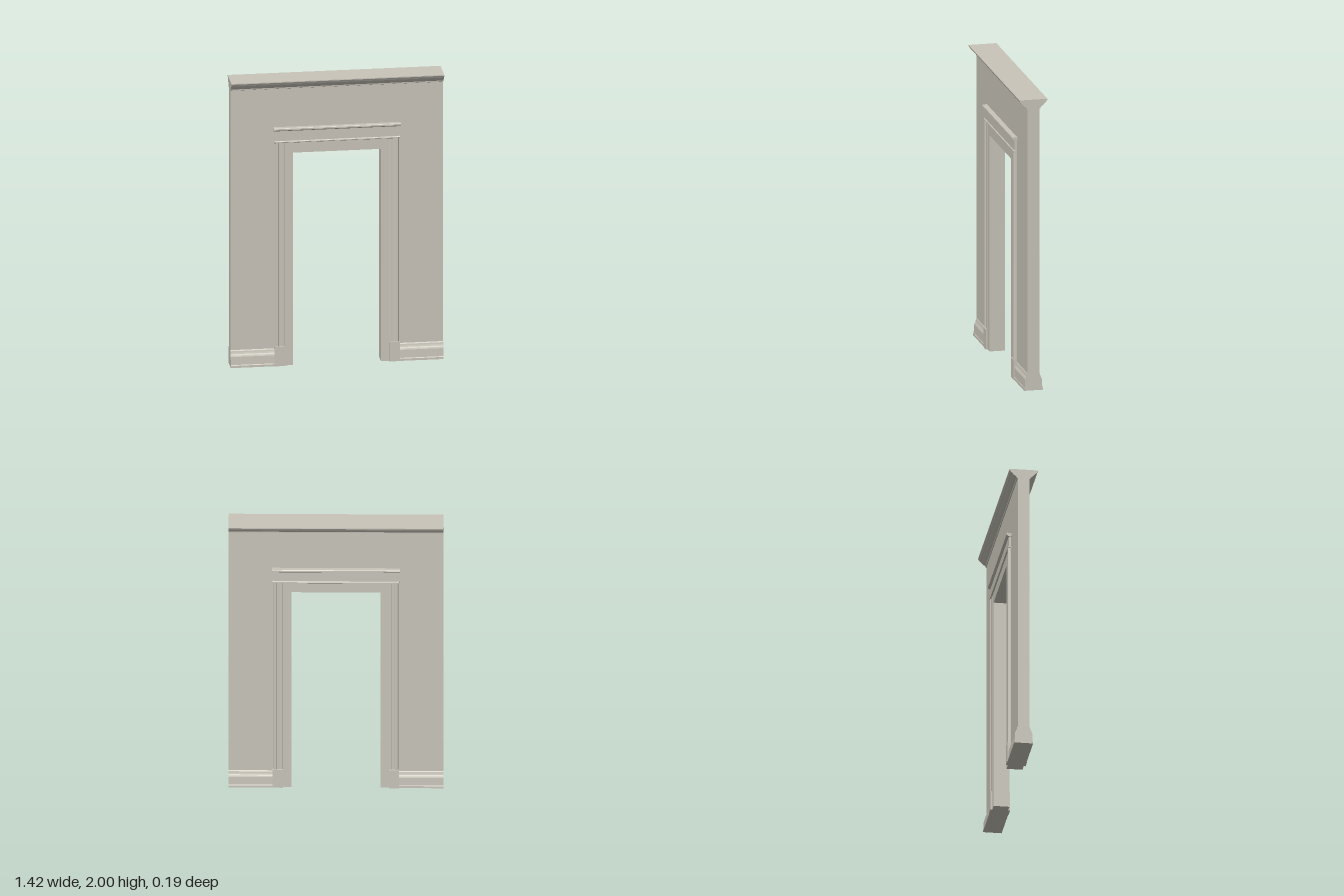
import * as THREE from 'three';

const HALF_WIDTH = 0.712; // half the wall width
const OPENING = 0.294;    // half the doorway width
const LINTEL = 1.487;     // doorway height

const paint = new THREE.MeshStandardMaterial({ color: 0xc8c4b9 });
paint.name = 'warmGreyPaint';

// Closed shape from half a section, mirrored so front and back match.
function mirroredShape(half, mirror) {
  const points = half.map(([a, b]) => new THREE.Vector2(a, b));
  const other = half.map(([a, b]) => new THREE.Vector2(...mirror(a, b))).reverse();
  return new THREE.Shape([...points, ...other]);
}

function extrude(shape, depth) {
  return new THREE.ExtrudeGeometry(shape, { depth, bevelEnabled: false });
}

function addMesh(group, name, geometry) {
  const mesh = new THREE.Mesh(geometry, paint);
  mesh.name = name;
  group.add(mesh);
}

// Horizontal moulding: half section in [z, y], run from x0 to x1.
function runAlongX(half, x0, x1) {
  const shape = mirroredShape(half, (z, y) => [-z, y]);
  return extrude(shape, x1 - x0).rotateY(Math.PI / 2).translate(x0, 0, 0);
}

// Upright moulding: half section in [x, z], run from y0 to y1.
function runAlongY(half, y0, y1) {
  const shape = mirroredShape(half, (x, z) => [x, -z]);
  return extrude(shape, y1 - y0).rotateX(-Math.PI / 2).translate(0, y0, 0);
}

// Flat arch around the doorway, centred on z = 0.
function archway(halfWidth, top, thickness) {
  const shape = new THREE.Shape([
    [-halfWidth, 0], [-OPENING, 0], [-OPENING, LINTEL], [OPENING, LINTEL],
    [OPENING, 0], [halfWidth, 0], [halfWidth, top], [-halfWidth, top],
  ].map(([x, y]) => new THREE.Vector2(x, y)));
  return extrude(shape, thickness).translate(0, 0, -thickness / 2);
}

export function createModel() {
  const group = new THREE.Group();
  group.name = 'doorwayWall';

  addMesh(group, 'wall', archway(HALF_WIDTH, 1.94, 0.08));
  addMesh(group, 'doorJamb', archway(0.358, 1.565, 0.106));

  // Crown moulding along the top, flaring to front and back
  addMesh(group, 'crown', runAlongX([
    [0.04, 1.934], [0.046, 1.937], [0.047, 1.945], [0.054, 1.95], [0.062, 1.956],
    [0.07, 1.964], [0.077, 1.973], [0.084, 1.977], [0.089, 1.985], [0.095, 1.994], [0.095, 2],
  ], -HALF_WIDTH, HALF_WIDTH));

  // Door head: frieze, lower bead and cap
  addMesh(group, 'headFrieze', runAlongX([[0.056, 1.56], [0.056, 1.65]], -0.415, 0.415));
  addMesh(group, 'headBead', runAlongX(
    [[0.06, 1.56], [0.063, 1.563], [0.063, 1.569], [0.06, 1.573]], -0.42, 0.42));
  addMesh(group, 'headCap', runAlongX(
    [[0.06, 1.643], [0.066, 1.648], [0.073, 1.652], [0.073, 1.662], [0.07, 1.666]], -0.425, 0.425));

  for (const [side, s] of [['left', 1], ['right', -1]]) {
    // Stepped casing with a raised outer band
    const casing = [
      [0.352, 0.053], [0.356, 0.056], [0.37, 0.056], [0.372, 0.054], [0.39, 0.055],
      [0.393, 0.059], [0.397, 0.062], [0.407, 0.062], [0.411, 0.058], [0.414, 0.05], [0.414, 0.035],
    ].map(([x, z]) => [s * x, z]);
    addMesh(group, side + 'Casing', runAlongY(casing, 0.13, 1.562));

    // Plinth block at the foot of the casing
    const plinth = new THREE.BoxGeometry(0.068, 0.136, 0.132);
    addMesh(group, side + 'Plinth', plinth.translate(s * 0.385, 0.068, 0));

    // Skirting board with a small foot and a sloping top
    const x0 = s > 0 ? 0.41 : -HALF_WIDTH;
    addMesh(group, side + 'Skirting', runAlongX([
      [0.063, 0], [0.063, 0.015], [0.06, 0.02], [0.057, 0.075], [0.054, 0.084],
      [0.049, 0.092], [0.046, 0.102], [0.044, 0.112], [0.039, 0.12],
    ], x0, x0 + HALF_WIDTH - 0.41));
  }
  return group;
}
